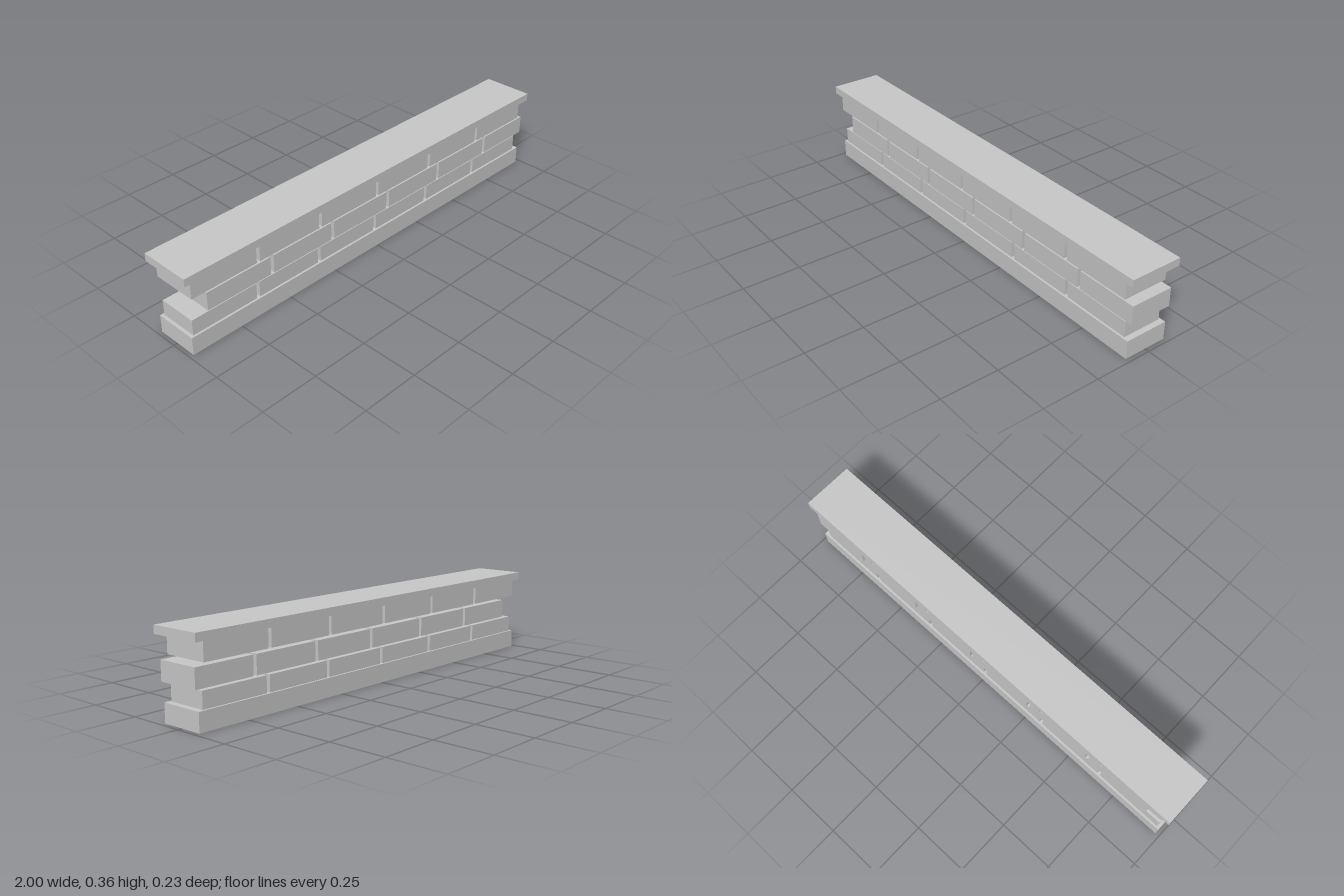
import * as THREE from 'three';

export function createModel() {
  const wall = new THREE.Group();
  wall.name = 'brickWall';
  const stone = new THREE.MeshStandardMaterial({ color: 0xc9c9c9 });
  stone.name = 'light grey stone';

  // Block spanning x0..x1 and y0..y1, with the given depth centred on z = 0
  function block(name, parent, x0, x1, y0, y1, depth) {
    const mesh = new THREE.Mesh(new THREE.BoxGeometry(x1 - x0, y1 - y0, depth), stone);
    mesh.position.set((x0 + x1) / 2, (y0 + y1) / 2, 0);
    mesh.name = name;
    parent.add(mesh);
  }

  // Plinth and overhanging coping slab
  block('base', wall, -0.982, 0.98, 0, 0.079, 0.192);
  block('coping', wall, -1, 1, 0.33, 0.364, 0.228);

  // Staggered courses, open joints between bricks, each course a little deeper
  const brick = 0.307, pitch = 0.3232, rightEnd = 0.991;
  const courses = [
    { name: 'lowerCourse', start: -0.968, y0: 0.079, y1: 0.148, depth: 0.174 },
    { name: 'middleCourse', start: -0.897, y0: 0.158, y1: 0.239, depth: 0.188 },
    { name: 'upperCourse', start: -0.968, y0: 0.251, y1: 0.33, depth: 0.2 },
  ];
  for (const c of courses) {
    const course = new THREE.Group();
    course.name = c.name;
    for (let i = 0; i < 6; i++) {
      const x0 = c.start + i * pitch;
      // The last brick of the shifted course is cut short
      block('brick', course, x0, Math.min(x0 + brick, rightEnd), c.y0, c.y1, c.depth);
    }
    wall.add(course);
  }
  return wall;
}
